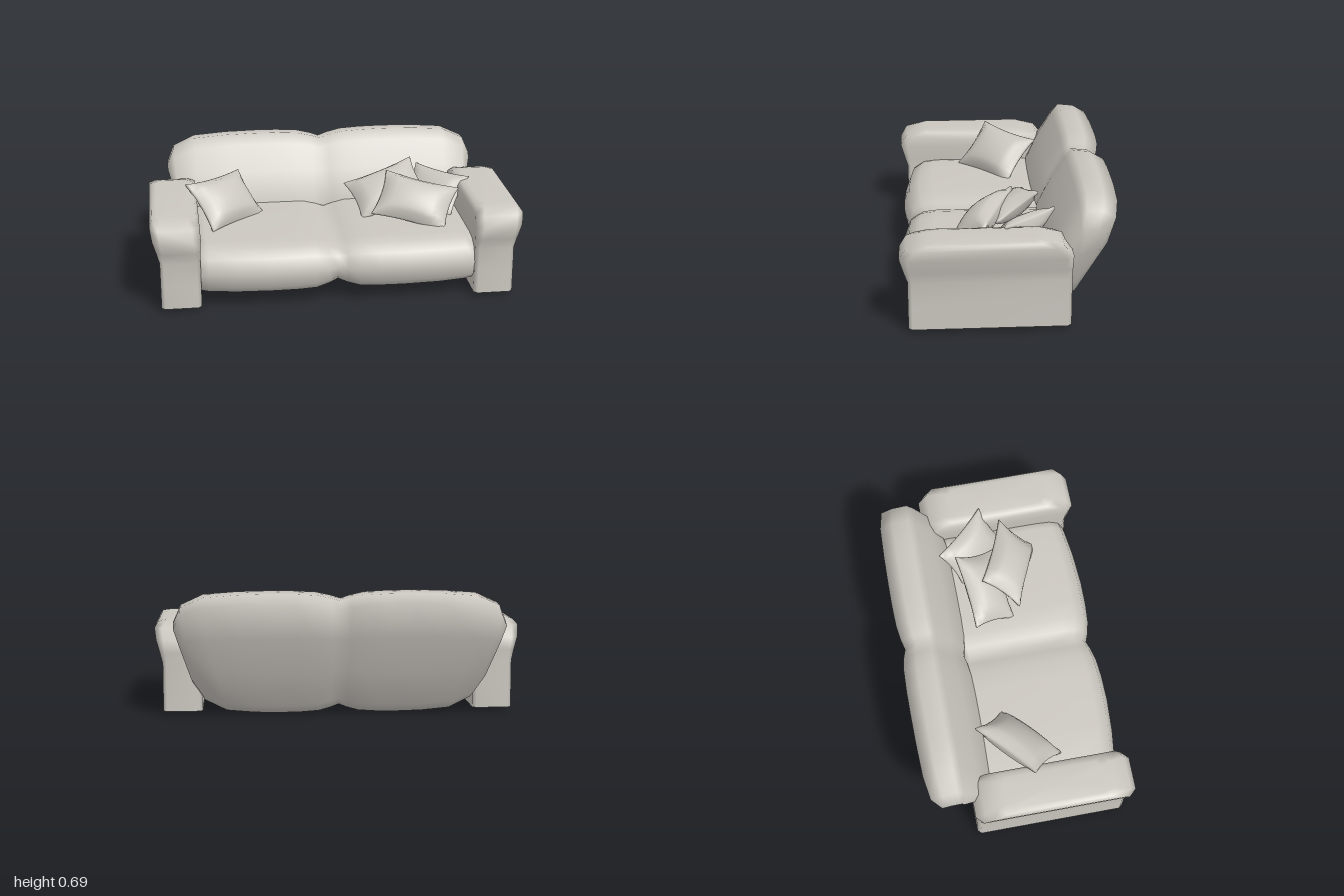
import * as THREE from 'three';
import { mergeVertices } from 'three/addons/utils/BufferGeometryUtils.js';

// Skin a list of equal-length closed rings; optionally close either end.
function loft(rings, capStart, capEnd) {
  const n = rings[0].length;
  const pos = rings.flat().flatMap((p) => p.toArray());
  const index = [];
  for (let i = 0; i < rings.length - 1; i++) {
    for (let j = 0; j < n; j++) {
      const a = i * n + j, b = i * n + ((j + 1) % n);
      index.push(a, b, b + n, a, b + n, a + n);
    }
  }
  const cap = (r, flip) => {
    const c = new THREE.Vector3();
    rings[r].forEach((p) => c.addScaledVector(p, 1 / n));
    const centre = pos.length / 3;
    pos.push(c.x, c.y, c.z);
    for (let j = 0; j < n; j++) {
      const a = r * n + j, b = r * n + ((j + 1) % n);
      if (flip) index.push(b, a, centre);
      else index.push(a, b, centre);
    }
  };
  if (capStart) cap(0, true);
  if (capEnd) cap(rings.length - 1, false);
  const geo = new THREE.BufferGeometry();
  geo.setAttribute('position', new THREE.Float32BufferAttribute(pos, 3));
  geo.setIndex(index);
  geo.computeVertexNormals();
  return geo;
}

// Double-lobed cushion: a (z, y) profile swept across x.
// Each station is [x, depthScale, heightScale]; the ends narrow towards the base by taper.
function cushion(profile, centre, half, taper) {
  const stations = [
    ...half.slice(1).reverse().map(([x, sz, sy]) => [-x, sz, sy]),
    ...half,
  ];
  const rings = stations.map(([x, sz, sy]) => profile.map(([z, y]) => {
    const py = centre[1] + (y - centre[1]) * sy;
    const narrow = 1 - taper * Math.max(0, 1 - py / 0.5);
    return new THREE.Vector3(x * narrow, py, centre[0] + (z - centre[0]) * sz);
  }));
  return loft(rings, true, true);
}

// Rolled armrest: chamfered rectangles stacked upwards, open underneath.
function armrest() {
  const levels = [ // y, x0, x1, z0, z1, chamfer
    [0.02, 0.74, 0.955, -0.31, 0.525, 0.02],
    [0.15, 0.74, 0.955, -0.31, 0.525, 0.02],
    [0.28, 0.74, 0.955, -0.31, 0.525, 0.02],
    [0.34, 0.738, 0.97, -0.312, 0.545, 0.03],
    [0.41, 0.735, 0.99, -0.315, 0.565, 0.04],
    [0.47, 0.738, 1.0, -0.265, 0.53, 0.04],
    [0.492, 0.755, 0.985, -0.19, 0.45, 0.04],
    [0.5, 0.785, 0.96, -0.14, 0.4, 0.03],
  ];
  const rings = levels.map(([y, x0, x1, z0, z1, c]) => [
    [x1, z1 - c], [x1, z0 + c], [x1 - c, z0], [x0 + c, z0],
    [x0, z0 + c], [x0, z1 - c], [x0 + c, z1], [x1 - c, z1],
  ].map(([x, z]) => new THREE.Vector3(x, y, z)));
  return loft(rings, false, true);
}

// Puffed pillow with pinched sides and thin corners.
function pillowGeometry(w, h, t) {
  const box = new THREE.BoxGeometry(2, 2, 2, 10, 10, 2);
  box.deleteAttribute('normal');
  box.deleteAttribute('uv');
  const geo = mergeVertices(box);
  const p = geo.attributes.position;
  for (let i = 0; i < p.count; i++) {
    const s = p.getX(i), u = p.getY(i);
    const puff = 0.15 + 0.85 * Math.sqrt(Math.max(0, (1 - s * s) * (1 - u * u)));
    const rim = 1 + 0.04 * (1 - Math.abs(p.getZ(i)));
    p.setXYZ(i,
      s * w / 2 * rim * (1 - 0.09 * (1 - u * u)),
      u * h / 2 * rim * (1 - 0.09 * (1 - s * s)),
      p.getZ(i) * t / 2 * puff);
  }
  geo.computeVertexNormals();
  return geo;
}

export function createModel() {
  const fabric = new THREE.MeshStandardMaterial({ color: 0xcbc7c0, side: THREE.DoubleSide });
  fabric.name = 'warm grey fabric';
  const sofa = new THREE.Group();
  sofa.name = 'sofa';
  const add = (name, geo) => {
    const mesh = new THREE.Mesh(geo, fabric);
    mesh.name = name;
    sofa.add(mesh);
    return mesh;
  };

  // Seat with rounded front and a centre crease
  add('seat', cushion(
    [[-0.26, 0.08], [-0.26, 0.32], [-0.2, 0.33], [0.1, 0.33], [0.38, 0.33], [0.46, 0.32],
      [0.52, 0.28], [0.55, 0.2], [0.53, 0.12], [0.49, 0.08], [0.42, 0.07], [0.1, 0.07]],
    [0, 0.2],
    [[0, 0.91, 0.7], [0.05, 0.945, 0.84], [0.12, 0.975, 0.98], [0.22, 0.99, 1], [0.36, 0.995, 1],
      [0.55, 0.975, 1], [0.7, 0.94, 0.97], [0.75, 0.92, 0.9], [0.77, 0.86, 0.6]],
    0));

  // Reclined backrest with rounded ends
  add('backrest', cushion(
    [[-0.275, 0.0], [-0.345, 0.05], [-0.43, 0.24], [-0.52, 0.44], [-0.565, 0.63], [-0.49, 0.675],
      [-0.395, 0.685], [-0.355, 0.63], [-0.27, 0.49], [-0.19, 0.33], [-0.18, 0.15], [-0.18, 0.01]],
    [-0.36, 0.36],
    [[0, 0.85, 0.87], [0.05, 0.92, 0.92], [0.13, 0.98, 0.975], [0.25, 1, 0.995], [0.38, 1, 1],
      [0.55, 0.99, 0.99], [0.73, 0.96, 0.95], [0.85, 0.86, 0.78], [0.89, 0.6, 0.5]],
    0.17));

  // Mirrored armrests
  const arm = armrest();
  add('leftArmrest', arm);
  add('rightArmrest', arm).scale.x = -1;

  // Scatter pillows: centre, width direction, height direction, size
  const pillows = [
    ['rightPillow', [-0.575, 0.425, -0.01], [0.74, -0.05, -0.67], [-0.42, 0.7, -0.57], [0.4, 0.3, 0.15]],
    ['leftBackPillow', [0.34, 0.445, -0.03], [0.4, 0.13, -0.05], [-0.05, 0.55, -0.8], [0.4, 0.27, 0.14]],
    ['leftFrontPillow', [0.475, 0.425, 0.135], [0.35, -0.06, 0.15], [0.11, 0.15, -0.15], [0.41, 0.28, 0.15]],
    ['leftSidePillow', [0.615, 0.41, -0.06], [0.24, 0, 0.26], [0.1, 0.17, -0.1], [0.36, 0.26, 0.13]],
  ];
  for (const [name, centre, width, height, size] of pillows) {
    const u = new THREE.Vector3(...width).normalize();
    const n = u.clone().cross(new THREE.Vector3(...height)).normalize();
    const v = n.clone().cross(u);
    const pillow = add(name, pillowGeometry(...size));
    pillow.quaternion.setFromRotationMatrix(new THREE.Matrix4().makeBasis(u, v, n));
    pillow.position.set(...centre);
  }
  return sofa;
}
